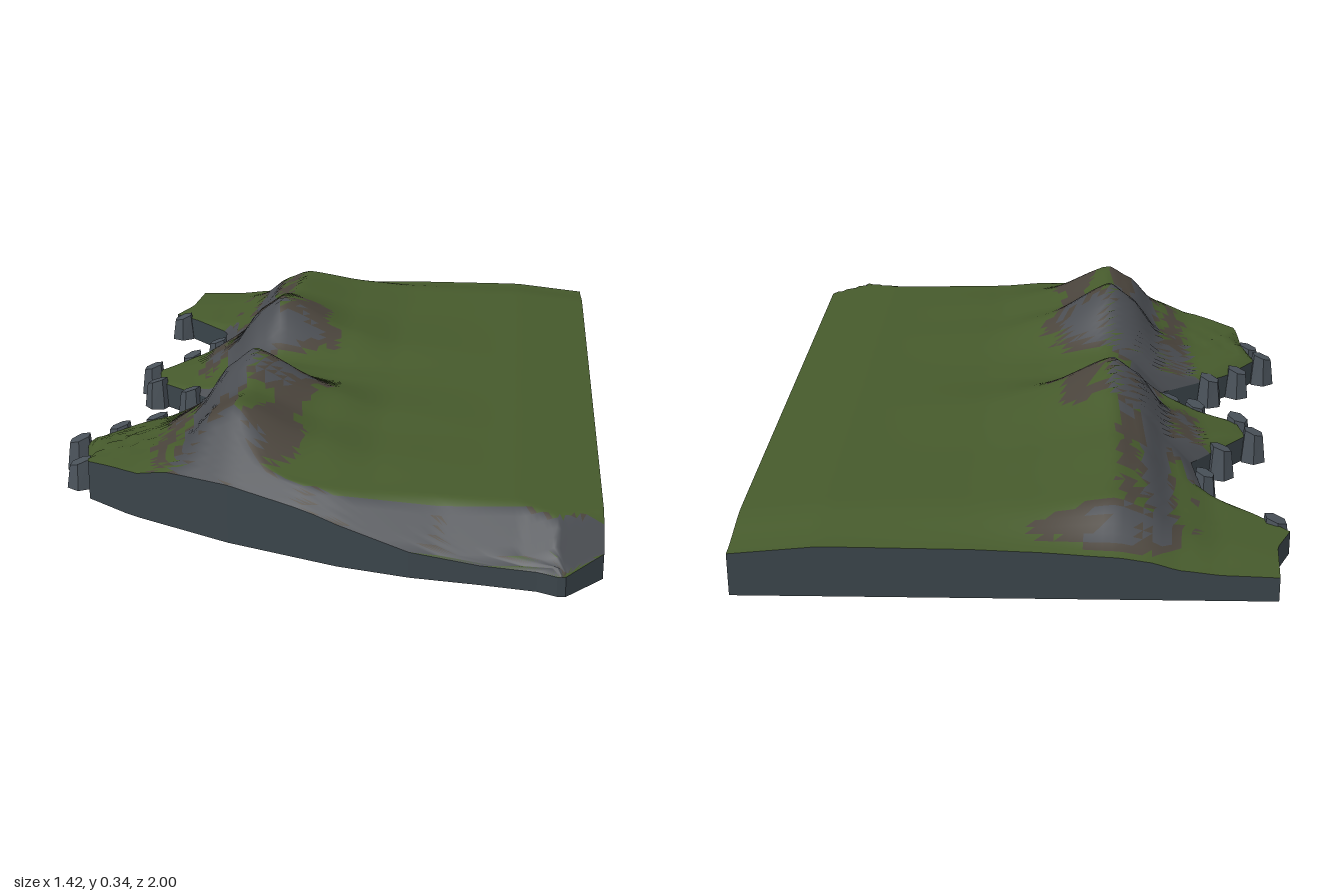
import * as THREE from 'three';

// Coast outline as [z, x], back to front
const COAST = [[-1, -.58], [-.85, -.59], [-.76, -.63], [-.57, -.43], [-.38, -.41], [-.2, -.57], [-.1, -.55],
  [.04, -.35], [.12, -.36], [.25, -.55], [.38, -.65], [.58, -.6], [.67, -.47], [.8, -.2], [.9, .08],
  [.955, .32], [.965, .52], [1, .6]];
const INLAND = [[-1, .71], [.9, .71], [1, .62]];
// Front shore as [x, z], and the height of its top edge as [x, y]
const FRONT = [...COAST.filter(p => p[0] > .5).map(([z, x]) => [x, z]), [.71, .9]];
const FRONT_TOP = [[-.65, .09], [-.5, .14], [-.2, .155], [0, .13], [.32, .05], [.61, .05], [.71, .065]];
// Ridge height as [z, y], and its cross-section as [x, share of that height]
const CREST = [[-1, .11], [-.85, .2], [-.55, .23], [-.22, .31], [-.02, .185], [.08, .2], [.32, .34],
  [.46, .28], [.61, .3], [.8, .2]];
const SECTION = [[-.65, 0], [-.45, .13], [-.35, .36], [-.27, .8], [-.2, 1], [0, .38], [.15, .12], [.45, 0]];
const BOULDER_Z = [-.71, -.46, -.31, -.2, -.09, -.01, .05, .2, .27, .38, .5];

const hash = (a, b) => {
  const s = Math.sin(a * 127.1 + b * 311.7) * 43758.5453;
  return s - Math.floor(s);
};

// Read a value off a polyline; rounding eases it between the points
function lookup(line, key, rounding = 0) {
  let i = 0;
  while (i < line.length - 2 && key > line[i + 1][0]) i++;
  const [k0, v0] = line[i], [k1, v1] = line[i + 1];
  const t = THREE.MathUtils.clamp((key - k0) / (k1 - k0), 0, 1);
  return THREE.MathUtils.lerp(v0, v1, THREE.MathUtils.lerp(t, t * t * (3 - 2 * t), rounding));
}

function heightAt(x, z) {
  const { lerp, smoothstep } = THREE.MathUtils;
  // Ridge rising from the low western shore and falling to the eastern plain
  const shore = .06 + .04 * smoothstep(z, .2, .5);
  const plain = .155 - .1 * Math.max(0, x - .5) - .025 * (1 - smoothstep(z, -1, -.8));
  const foot = x < -.2 ? shore : plain;
  let h = lerp(foot, lookup(CREST, z, .7), lookup(SECTION, x, .4));
  // Slopes down to the bays and to the front shore
  h = Math.min(h, .07 + 1.1 * (x - lookup(COAST, z)) + Math.max(0, z - .5) * .6);
  h = Math.min(h, lookup(FRONT_TOP, x) + .8 * Math.max(0, lookup(FRONT, x) - z));
  // Broken ground on the western headland
  const d = Math.hypot(x + .53, z - .45);
  if (d < .15) h += .008 * Math.sin(x * 70) * Math.cos(z * 60) * (1 - d / .15);
  return h;
}

const material = color => new THREE.MeshStandardMaterial({ color });

function addMesh(group, name, geometry, mat) {
  const mesh = new THREE.Mesh(geometry, mat);
  mesh.name = name;
  group.add(mesh);
  return mesh;
}

export function createModel() {
  const model = new THREE.Group();
  model.name = 'coastalTerrain';
  const rows = 100, cols = 56;
  const points = [];
  for (let i = 0; i <= rows; i++) {
    const z = -1 + 2 * i / rows;
    const x0 = lookup(COAST, z), x1 = lookup(INLAND, z);
    for (let j = 0; j <= cols; j++) {
      const x = x0 + (x1 - x0) * j / cols;
      points.push(new THREE.Vector3(x, heightAt(x, z), z));
    }
  }
  const at = (i, j) => i * (cols + 1) + j;

  // Ground surface, sorted by steepness into grass, earth and rock
  const faces = { grass: [], earth: [], rock: [] };
  const all = [], normal = new THREE.Vector3(), tri = new THREE.Triangle();
  for (let i = 0; i < rows; i++) for (let j = 0; j < cols; j++) {
    const a = at(i, j), b = at(i + 1, j), c = at(i, j + 1), d = at(i + 1, j + 1);
    for (const f of [[a, b, c], [b, d, c]]) {
      tri.set(...f.map(k => points[k])).getNormal(normal);
      const p = points[a];
      const patch = hash(Math.floor(p.x * 14), Math.floor(p.z * 24));
      const steep = normal.y - .07 * (patch - .5);
      const onRidge = p.x > -.45 && p.x < .02 || p.z > .84;
      const kind = !onRidge || steep > .9 ? 'grass' : steep > .83 ? 'earth' : 'rock';
      faces[kind].push(...f);
      all.push(...f);
    }
  }
  const ground = new THREE.BufferGeometry().setFromPoints(points);
  ground.setIndex(all);
  ground.computeVertexNormals();
  const colors = { grass: 0x465a2c, earth: 0x4a443c, rock: 0x4a4d52 };
  for (const kind in faces) {
    const part = new THREE.BufferGeometry();
    part.setAttribute('position', ground.attributes.position);
    part.setAttribute('normal', ground.attributes.normal);
    part.setIndex(faces[kind]);
    addMesh(model, kind, part, material(colors[kind]));
  }

  // Perimeter walls from the ground edge down to the base
  const rim = [];
  for (let i = 0; i < rows; i++) rim.push(points[at(i, 0)]);
  for (let j = 0; j < cols; j++) rim.push(points[at(rows, j)]);
  for (let i = rows; i > 0; i--) rim.push(points[at(i, cols)]);
  for (let j = cols; j > 0; j--) rim.push(points[at(0, j)]);
  const wall = [];
  rim.forEach((p, k) => {
    const q = rim[(k + 1) % rim.length];
    const p0 = p.clone().setY(0), q0 = q.clone().setY(0);
    wall.push(p0, q0, q, p0, q, p);
  });
  const wallGeometry = new THREE.BufferGeometry().setFromPoints(wall);
  wallGeometry.computeVertexNormals();
  const stone = material(0x3a444a);
  addMesh(model, 'cliffWalls', wallGeometry, stone);

  // Flat underside
  const base = new THREE.ShapeGeometry(new THREE.Shape(rim.map(p => new THREE.Vector2(p.x, p.z))));
  base.rotateX(Math.PI / 2);
  addMesh(model, 'underside', base, stone);

  // Boulders with slanted tops along the western shore
  const boulderStone = material(0x4a525a);
  boulderStone.flatShading = true;
  BOULDER_Z.forEach((z, k) => {
    const r = .034 + .006 * hash(k, 1), h = .07 + .02 * hash(k, 2);
    const rock = new THREE.CylinderGeometry(r * .75, r, h, 6);
    rock.translate(0, h / 2, 0);
    const pos = rock.attributes.position;
    for (let v = 0; v < pos.count; v++) {
      if (pos.getY(v) > h / 2) pos.setY(v, h + pos.getX(v) * .35);
    }
    const mesh = addMesh(model, 'boulder' + (k + 1), rock, boulderStone);
    mesh.position.set(lookup(COAST, z) - .022, 0, z);
    mesh.rotation.y = hash(k, 3) * .8 - .4;
  });
  return model;
}
